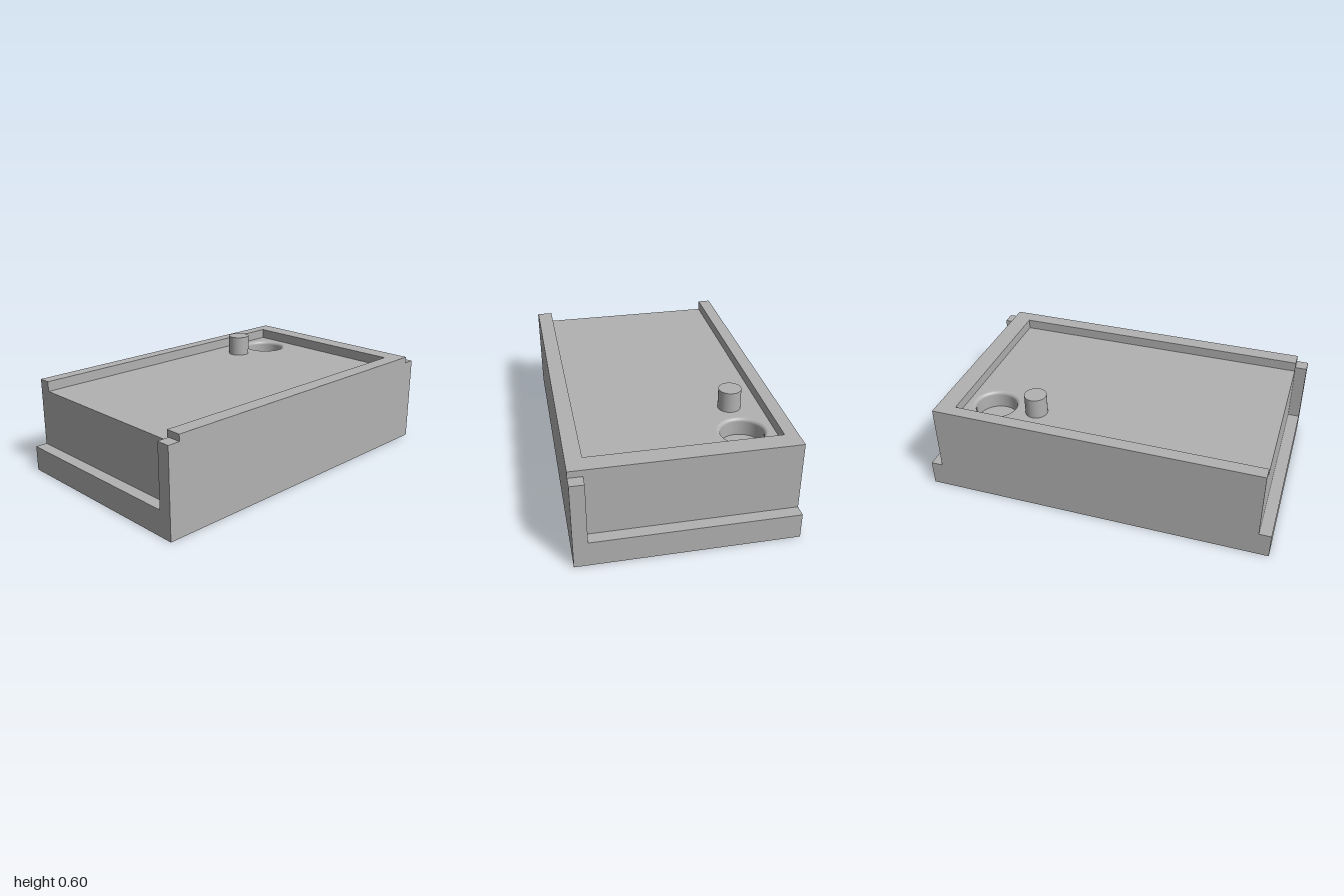
import * as THREE from 'three';

const grey = new THREE.MeshStandardMaterial({ color: 0xb2b2b2 });
grey.name = 'plain grey';

// Overall half sizes and heights
const HX = 1, HZ = 0.597, CORE = 0.932;
const LEDGE = 0.145, FLOOR = 0.48, RIM = 0.537, POST_TOP = 0.597;
const IN_RIGHT = 0.825, IN_BACK = -0.525, IN_FRONT = 0.51;
const HOLE = { x: 0.66, z: -0.355, r: 0.117, fillet: 0.02, depth: 0.1 };

export function createModel() {
  const group = new THREE.Group();

  function add(name, geometry, x = 0, y = 0, z = 0) {
    const mesh = new THREE.Mesh(geometry, grey);
    mesh.name = name;
    mesh.position.set(x, y, z);
    group.add(mesh);
    return mesh;
  }

  // Box from its lowest and highest corners
  function box(name, x0, x1, y0, y1, z0, z1) {
    add(name, new THREE.BoxGeometry(x1 - x0, y1 - y0, z1 - z0),
      (x0 + x1) / 2, (y0 + y1) / 2, (z0 + z1) / 2);
  }

  // Plan outline given as [x, z] points
  const plan = (pts) => new THREE.Shape(pts.map(([x, z]) => new THREE.Vector2(x, -z)));
  function slab(name, shape, y0, y1) {
    const g = new THREE.ExtrudeGeometry(shape, { depth: y1 - y0, bevelEnabled: false, curveSegments: 48 });
    add(name, g.rotateX(-Math.PI / 2), 0, y0, 0);
  }

  // Wide base whose ends form ledges
  box('base', -HX, HX, 0, LEDGE, -HZ, HZ);

  // Upright stops at the front of both ledges
  for (const s of [-1, 1]) {
    const a = s * CORE, b = s * HX;
    box('frontStop', Math.min(a, b), Math.max(a, b), LEDGE, 0.5, 0.52, HZ);
  }

  // Three-sided wall, open at the -x end
  slab('rimWall', plan([
    [-CORE, HZ], [CORE, HZ], [CORE, -HZ], [-CORE, -HZ],
    [-CORE, IN_BACK], [IN_RIGHT, IN_BACK], [IN_RIGHT, IN_FRONT], [-CORE, IN_FRONT],
  ]), LEDGE, RIM);

  // Recessed deck with a round opening
  const deck = plan([
    [-CORE, IN_FRONT], [IN_RIGHT, IN_FRONT], [IN_RIGHT, IN_BACK], [-CORE, IN_BACK],
  ]);
  const opening = new THREE.Path();
  opening.absarc(HOLE.x, -HOLE.z, HOLE.r + HOLE.fillet, 0, Math.PI * 2, true);
  deck.holes.push(opening);
  slab('deck', deck, LEDGE, FLOOR);

  // Rounded lip and wall of the hole, listed from the lip downwards
  const profile = [];
  for (let i = 0; i <= 8; i++) {
    const t = (i / 8) * Math.PI / 2;
    profile.push(new THREE.Vector2(
      HOLE.r + HOLE.fillet * (1 - Math.sin(t)),
      HOLE.fillet * (Math.cos(t) - 1)));
  }
  profile.push(new THREE.Vector2(HOLE.r, -HOLE.depth));
  add('holeWall', new THREE.LatheGeometry(profile, 96), HOLE.x, FLOOR, HOLE.z);
  add('holeBottom', new THREE.CircleGeometry(HOLE.r, 96).rotateX(-Math.PI / 2),
    HOLE.x, FLOOR - HOLE.depth, HOLE.z);

  // Round post standing on the deck
  const h = POST_TOP - FLOOR;
  add('post', new THREE.CylinderGeometry(0.063, 0.063, h, 48), 0.41, FLOOR + h / 2, -0.355);

  return group;
}
